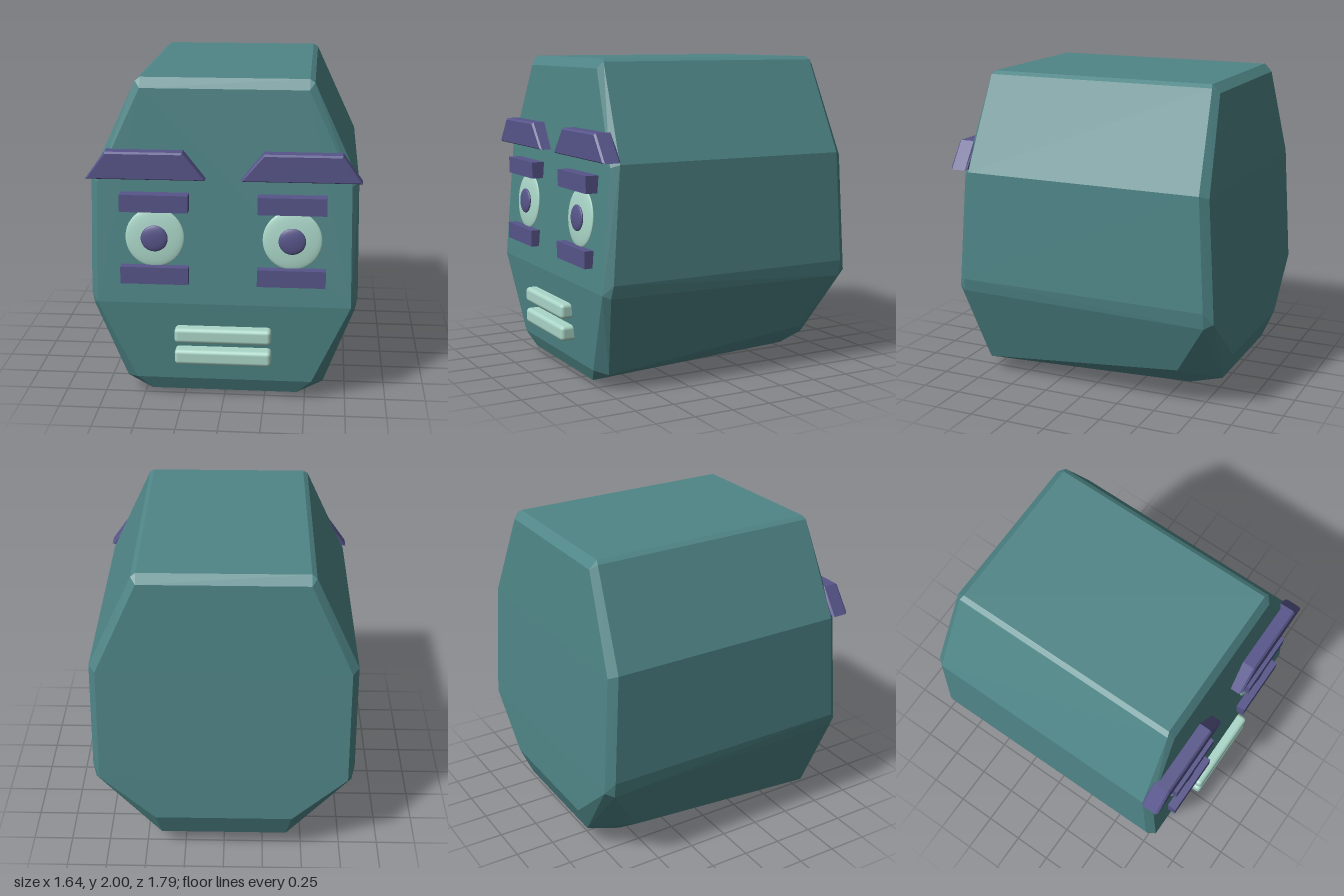
import * as THREE from 'three';
import { ConvexGeometry } from 'three/addons/geometries/ConvexGeometry.js';
import { RoundedBoxGeometry } from 'three/addons/geometries/RoundedBoxGeometry.js';

const skin = new THREE.MeshStandardMaterial({ color: 0x4f8587, flatShading: true });
const purple = new THREE.MeshStandardMaterial({ color: 0x57558a });
const mint = new THREE.MeshStandardMaterial({ color: 0xaad6c8 });

function add(parent, name, geometry, material, x = 0, y = 0, z = 0) {
  const mesh = new THREE.Mesh(geometry, material);
  mesh.name = name;
  mesh.position.set(x, y, z);
  parent.add(mesh);
  return mesh;
}

// Faceted head: half outlines from front to back, mirrored in x and wrapped in a hull
function headGeometry() {
  const rings = [
    // front face
    [[0.5, 1.94, 0.74], [0.76, 1.38, 0.785], [0.77, 0.64, 0.845], [0.54, 0.13, 0.8]],
    // front rim of the sides and chin
    [[0.5, 2, 0.7], [0.53, 1.98, 0.71], [0.8, 1.4, 0.74], [0.81, 0.7, 0.79], [0.795, 0.62, 0.8],
      [0.61, 0.11, 0.73], [0.45, 0.04, 0.76], [0.2, 0.005, 0.68]],
    // back rim of the sides and underside
    [[0.5, 2, -0.75], [0.53, 1.98, -0.76], [0.8, 1.4, -0.79], [0.81, 0.7, -0.83], [0.795, 0.6, -0.83],
      [0.67, 0.26, -0.62], [0.45, 0.1, -0.62], [0.2, 0.05, -0.62]],
    // back face and its lower bevel
    [[0.5, 1.95, -0.8], [0.76, 1.38, -0.84], [0.77, 0.63, -0.885], [0.43, 0.32, -0.895], [0.4, 0.14, -0.82]],
  ];
  const points = [];
  for (const [x, y, z] of rings.flat()) {
    points.push(new THREE.Vector3(x, y, z), new THREE.Vector3(-x, y, z));
  }
  return new ConvexGeometry(points);
}

// Trapezoid brow with a small bevel, outer end on +x
function browGeometry() {
  const shape = new THREE.Shape([
    new THREE.Vector2(0.12, 1.42), new THREE.Vector2(0.805, 1.42),
    new THREE.Vector2(0.695, 1.568), new THREE.Vector2(0.245, 1.568),
  ]);
  return new THREE.ExtrudeGeometry(shape, {
    depth: 0.091, bevelEnabled: true, bevelSize: 0.011, bevelThickness: 0.012, bevelSegments: 1,
  });
}

export function createModel() {
  const model = new THREE.Group();
  model.name = 'head';
  add(model, 'skull', headGeometry(), skin);

  const ball = new THREE.SphereGeometry(1, 40, 20);
  for (const [side, s] of [['left', 1], ['right', -1]]) {
    // Eye: flattened white and pupil tilted with the face
    const white = add(model, side + 'EyeWhite', ball, mint, s * 0.413, 1.05, 0.815);
    white.scale.set(0.178, 0.18, 0.02);
    white.rotation.x = -0.08;
    const pupil = add(model, side + 'Pupil', ball, purple, s * 0.413, 1.05, 0.84);
    pupil.scale.set(0.082, 0.08, 0.018);
    pupil.rotation.x = -0.05;

    // Lids
    add(model, side + 'UpperLid', new THREE.BoxGeometry(0.41, 0.105, 0.1), purple, s * 0.411, 1.272, 0.822);
    add(model, side + 'LowerLid', new THREE.BoxGeometry(0.41, 0.105, 0.1), purple, s * 0.411, 0.828, 0.835);

    // Brow: the outline is symmetric, so the right one is turned half way round
    const brow = add(model, side + 'Brow', browGeometry(), purple, 0, 0, 0.753);
    if (s < 0) {
      brow.rotation.y = Math.PI;
      brow.position.z = 0.844;
    }
  }

  // Lips
  for (const [name, y] of [['upperLip', 0.447], ['lowerLip', 0.307]]) {
    add(model, name, new RoundedBoxGeometry(0.59, 0.096, 0.15, 2, 0.025), mint, 0, y, 0.825);
  }
  return model;
}
